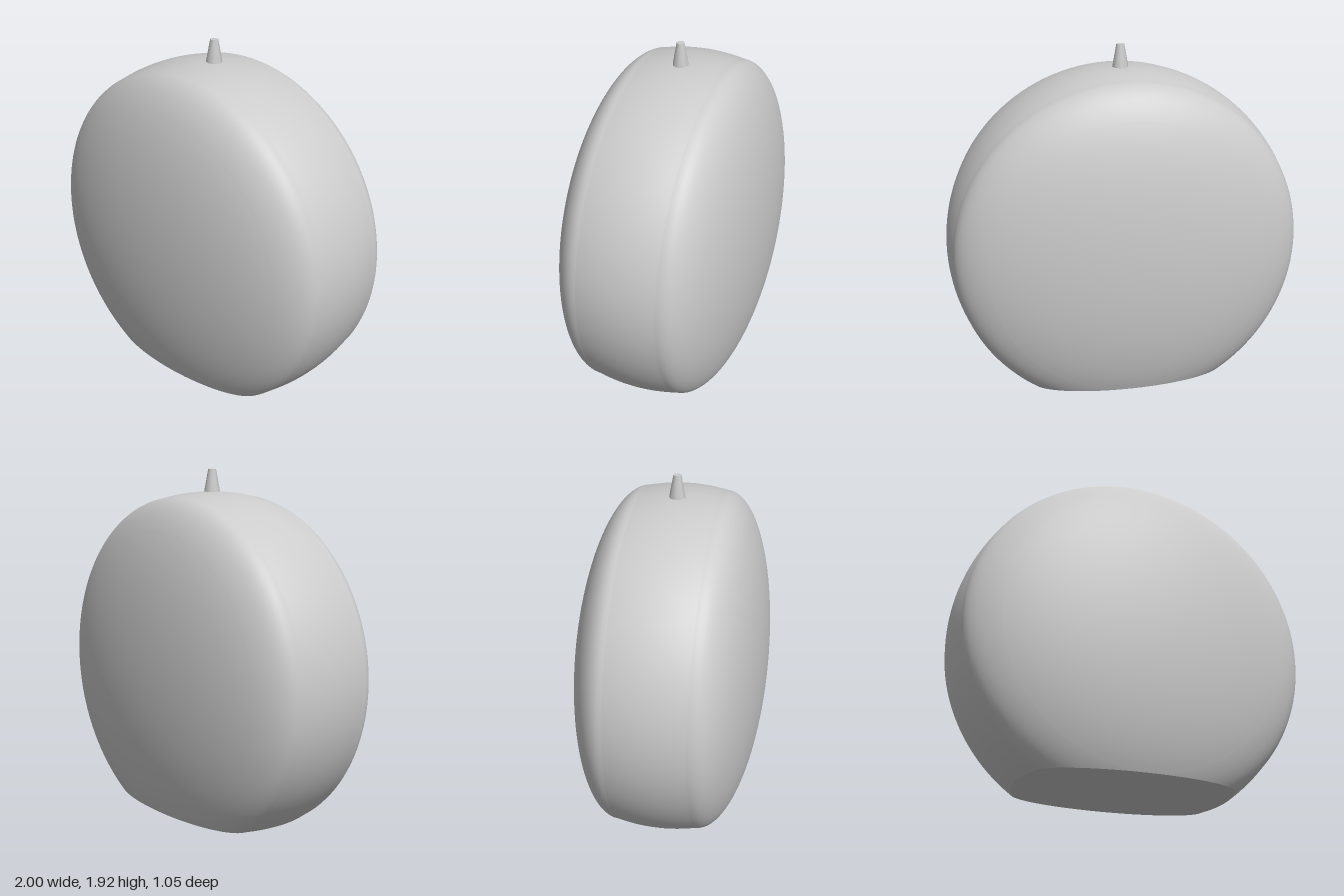
import * as THREE from 'three';

const CUT = 0.8;          // height of the disc axis above the flat base
const BAND = 0.22;        // half width of the rim band
const RIM = Math.sqrt(1 - BAND * BAND);
const SEGMENTS = 128;
const AXIS = new THREE.Vector3(0, 1, 0);

// Profiles as (radius, position along the axis)
function bandProfile() {
  const points = [];
  for (let i = 0; i <= 12; i++) {
    const z = -BAND + (2 * BAND * i) / 12;
    points.push(new THREE.Vector2(Math.sqrt(1 - z * z), z));
  }
  return points;
}

function capProfile() {
  const tCut = Math.acos(CUT / RIM);
  const at = (t) => new THREE.Vector2(Math.max(0, RIM * Math.cos(t)), BAND + 0.305 * Math.sin(t));
  const points = [];
  // rings crowd towards the one that just touches the base
  for (let i = 0; i <= 16; i++) points.push(at(tCut * (1 - (1 - i / 16) ** 2)));
  for (let i = 1; i <= 20; i++) points.push(at(tCut + ((Math.PI / 2 - tCut) * i) / 20));
  return points;
}

// Surface of revolution about z whose rings stop at the flat base
function cutLathe(points) {
  const geometry = new THREE.LatheGeometry(points, SEGMENTS);
  const { position, normal } = geometry.attributes;
  const v = new THREE.Vector3();
  for (let i = 0; i < position.count; i++) {
    const r = points[i % points.length].x;
    if (r <= CUT) continue;
    const phi = (Math.floor(i / points.length) / SEGMENTS) * 2 * Math.PI;
    const turn = (Math.PI - phi) * (Math.acos(CUT / r) / Math.PI);
    for (const attribute of [position, normal]) {
      v.fromBufferAttribute(attribute, i).applyAxisAngle(AXIS, turn);
      attribute.setXYZ(i, v.x, v.y, v.z);
    }
  }
  return geometry.rotateX(Math.PI / 2).translate(0, CUT, 0);
}

export function createModel() {
  const model = new THREE.Group();
  const material = new THREE.MeshStandardMaterial({ color: 0xcccccc });
  const add = (name, geometry) => {
    const mesh = new THREE.Mesh(geometry, material);
    mesh.name = name;
    model.add(mesh);
    return mesh;
  };

  // Rim band and the two domed faces
  const band = bandProfile();
  const cap = capProfile();
  add('rimBand', cutLathe(band));
  add('frontDome', cutLathe(cap));
  add('backDome', cutLathe(cap)).rotation.y = Math.PI;

  // Flat base filling the cut
  const front = cap.filter((p) => p.x >= CUT - 1e-6);
  const back = front.map((p) => new THREE.Vector2(p.x, -p.y)).reverse();
  const right = [...back, ...band.slice(1, -1), ...front]
    .map((p) => new THREE.Vector2(Math.sqrt(Math.max(0, p.x * p.x - CUT * CUT)), p.y));
  const left = right.slice(1, -1).reverse().map((p) => new THREE.Vector2(-p.x, p.y));
  const base = new THREE.ShapeGeometry(new THREE.Shape([...right, ...left]));
  add('flatBase', base.rotateX(Math.PI / 2));

  // Small tapered peg on top
  add('topPeg', new THREE.CylinderGeometry(0.022, 0.046, 0.13, 8)).position.y = 1.86;

  return model;
}
